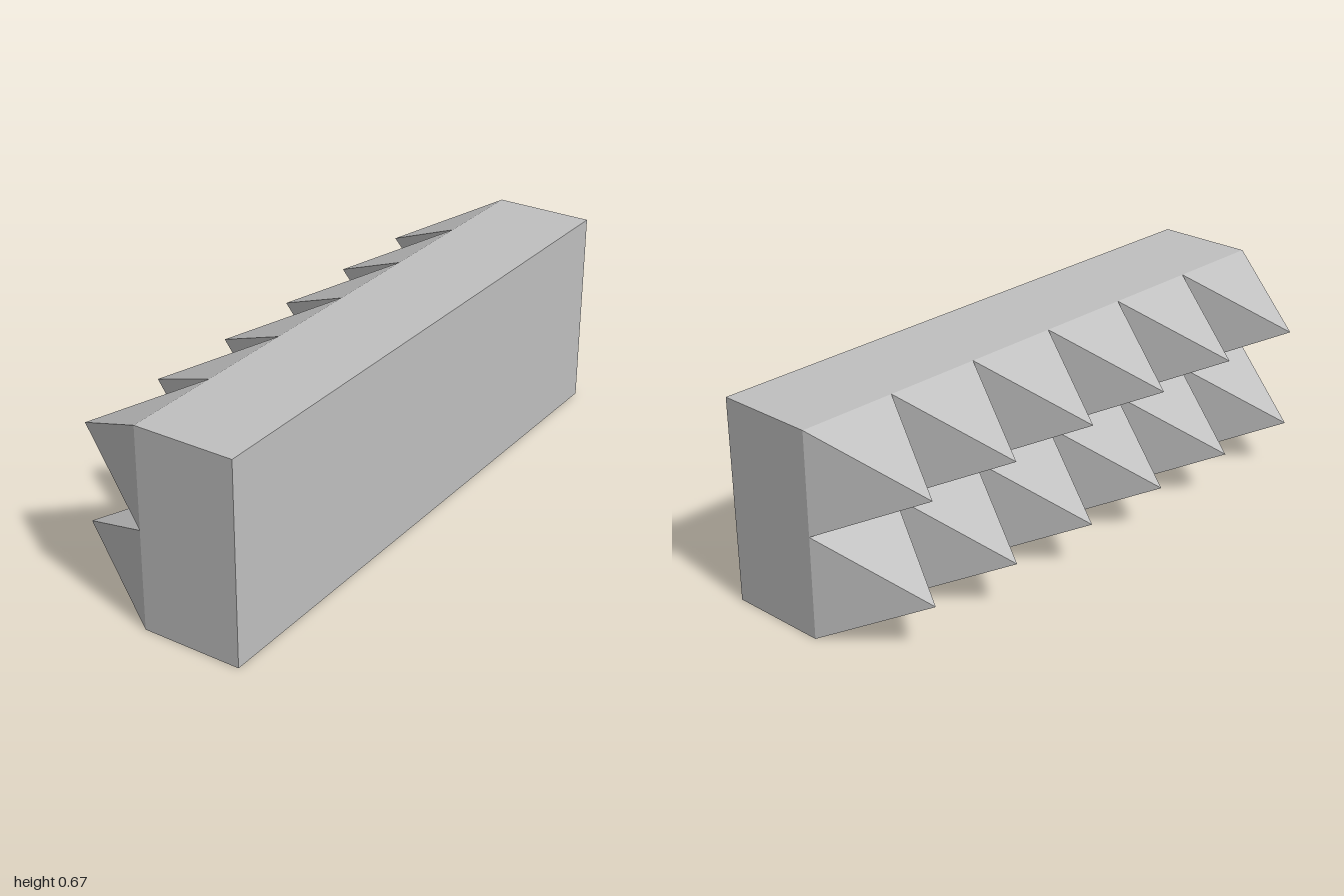
import * as THREE from 'three';

export function createModel() {
  const group = new THREE.Group();
  const grey = new THREE.MeshStandardMaterial({ color: 0xbfbfbf });
  grey.name = 'grey';

  const unit = 1 / 3; // tooth base and height, block thickness
  const rows = 2;
  const columns = 6;

  // Backing block, occupying the +x half
  const block = new THREE.Mesh(new THREE.BoxGeometry(unit, rows * unit, columns * unit), grey);
  block.name = 'backingBlock';
  block.position.set(unit / 2, (rows * unit) / 2, 0);
  group.add(block);

  // Square pyramid pointing to -x, with flat facets
  const cone = new THREE.ConeGeometry(unit / Math.SQRT2, unit, 4, 1, true);
  cone.rotateY(Math.PI / 4);
  cone.rotateZ(Math.PI / 2);
  const pyramid = cone.toNonIndexed();
  pyramid.computeVertexNormals();

  // Grid of pyramids covering the -x face
  const teeth = new THREE.Group();
  teeth.name = 'pyramidTeeth';
  for (let r = 0; r < rows; r++) {
    for (let c = 0; c < columns; c++) {
      const tooth = new THREE.Mesh(pyramid, grey);
      tooth.name = `tooth${r + 1}_${c + 1}`;
      tooth.position.set(-unit / 2, (r + 0.5) * unit, (c + 0.5 - columns / 2) * unit);
      teeth.add(tooth);
    }
  }
  group.add(teeth);

  return group;
}
